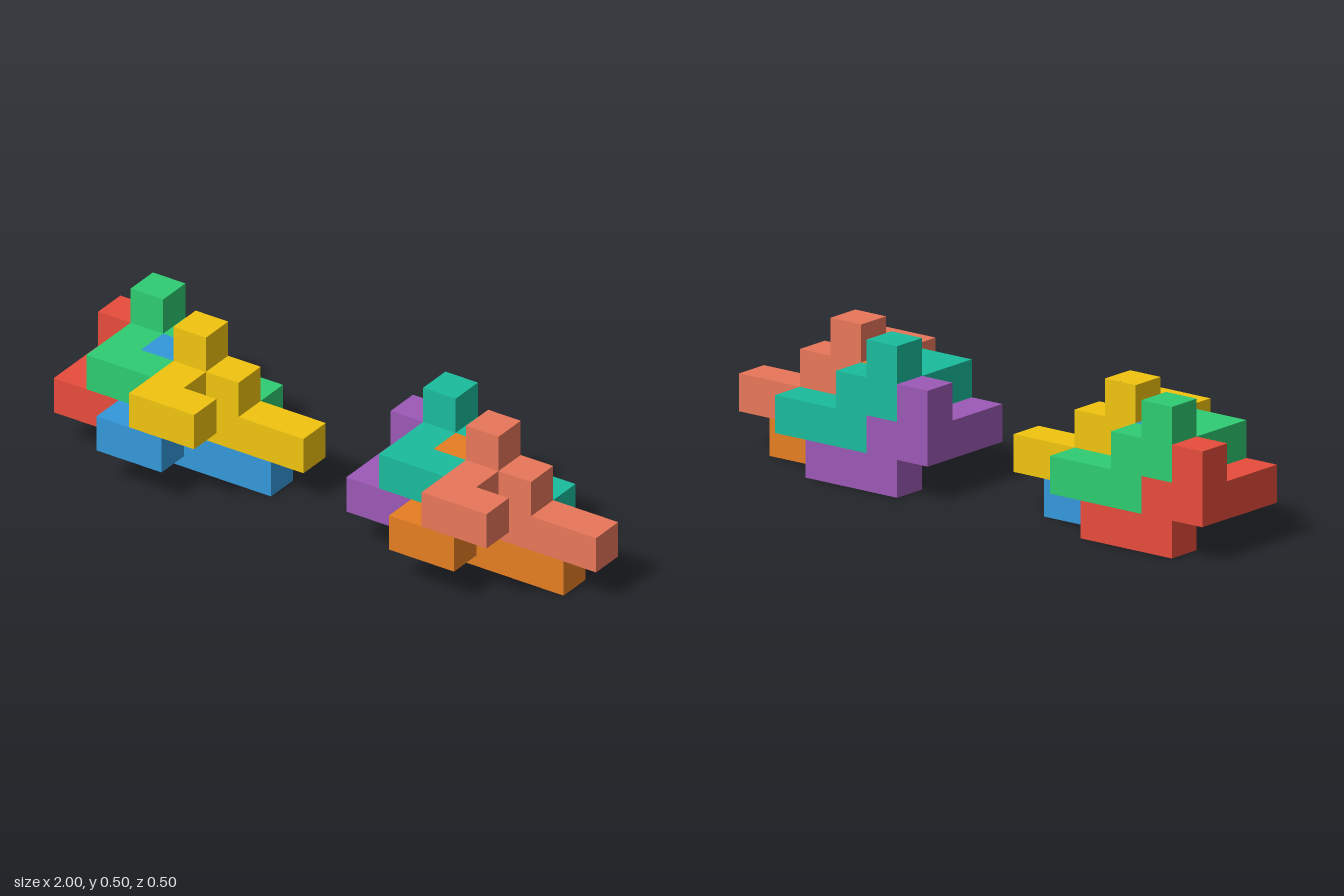
import * as THREE from 'three';
import { mergeGeometries } from 'three/addons/utils/BufferGeometryUtils.js';

const U = 0.125; // edge of one cube

// cubes of one puzzle piece, as x, y, z cells
const CELLS = [
  [0, 2, 0],                                  // post
  [0, 1, 0], [0, 1, 1], [0, 1, 2],            // back of the C
  [1, 1, 0], [1, 1, 2],                       // arms of the C
  [1, 0, 0], [2, 0, 0], [3, 0, 0],            // foot
];

const DIRECTIONS = [[1, 0, 0], [-1, 0, 0], [0, 1, 0], [0, -1, 0], [0, 0, 1], [0, 0, -1]];

// outer skin of the piece: a square wherever a cube has no neighbour
function pieceGeometry() {
  const filled = new Set(CELLS.map(String));
  const faces = [];
  for (const cell of CELLS) {
    for (const dir of DIRECTIONS) {
      if (filled.has(String(cell.map((c, i) => c + dir[i])))) continue;
      const centre = cell.map((c, i) => (c + 0.5 + dir[i] / 2) * U);
      faces.push(new THREE.PlaneGeometry(U, U)
        .lookAt(new THREE.Vector3(...dir))
        .translate(...centre));
    }
  }
  return mergeGeometries(faces);
}

// four identical pieces interlocked, each shifted by whole cells
const SHIFTS = {
  lowerBackPiece: [0, 0, 0],
  upperBackPiece: [1, 1, 0],
  lowerFrontPiece: [2, 0, 1],
  upperFrontPiece: [3, 1, 1],
};

function cluster(name, geometry, colors, x) {
  const group = new THREE.Group();
  group.name = name;
  Object.entries(SHIFTS).forEach(([part, shift], i) => {
    const mesh = new THREE.Mesh(geometry,
      new THREE.MeshStandardMaterial({ color: colors[i] }));
    mesh.name = part;
    mesh.position.set(...shift).multiplyScalar(U);
    group.add(mesh);
  });
  group.position.set(x, 0, -2 * U);
  return group;
}

export function createModel() {
  const model = new THREE.Group();
  model.name = 'interlockingPieces';
  const geometry = pieceGeometry();
  model.add(
    cluster('rightCluster', geometry, [0xe74c3c, 0x2ecc71, 0x3498db, 0xf1c40f], -8 * U),
    cluster('leftCluster', geometry, [0x9b59b6, 0x1abc9c, 0xe67e22, 0xe8775a], U),
  );
  return model;
}
